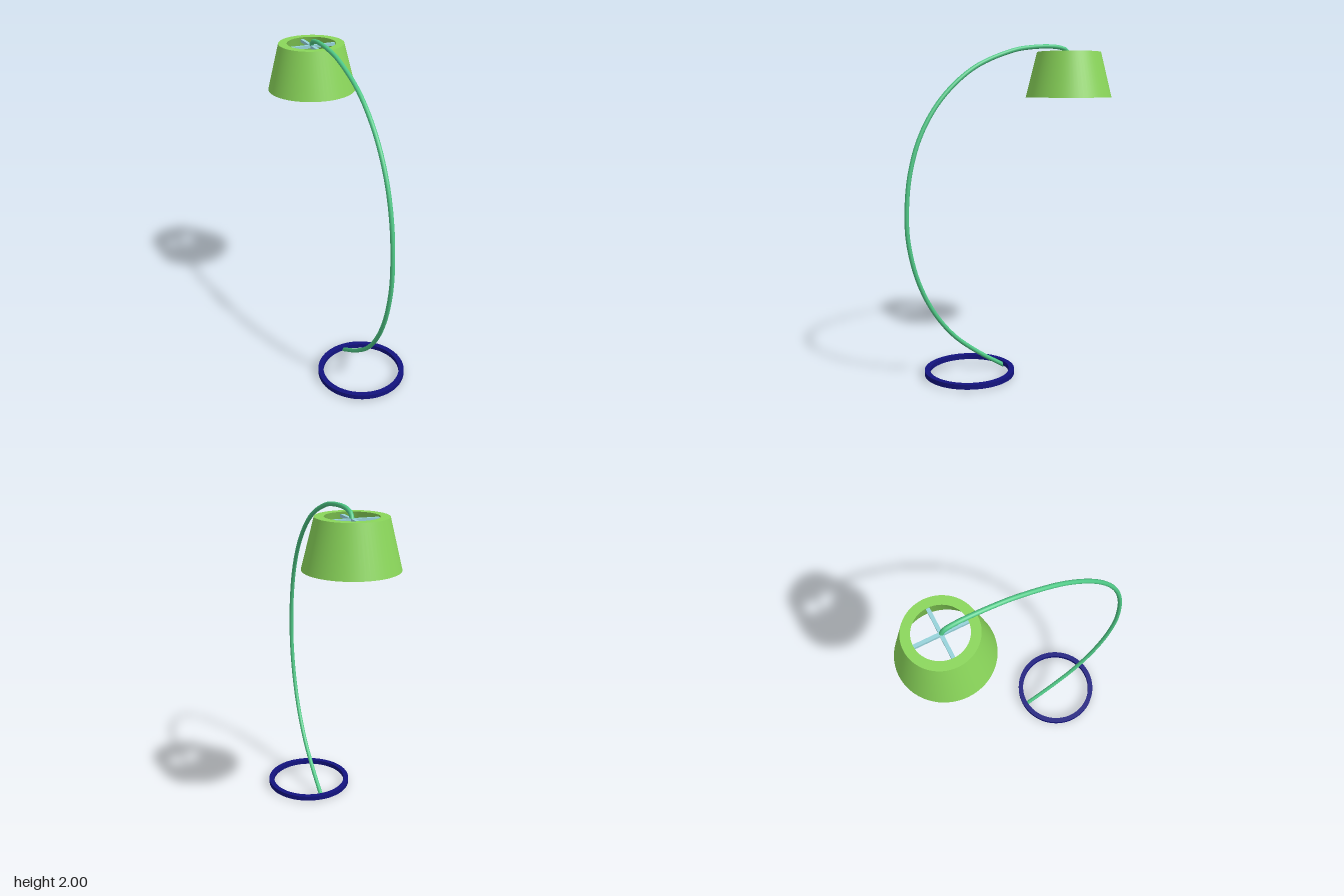
import * as THREE from 'three';

const POLE_X = -0.005;
const SHADE_Z = -0.436;

function material(color, extra = {}) {
  return new THREE.MeshStandardMaterial({ color, ...extra });
}

function addMesh(parent, name, geometry, mat) {
  const mesh = new THREE.Mesh(geometry, mat);
  mesh.name = name;
  parent.add(mesh);
  return mesh;
}

// Revolves a closed [radius, y] outline, doubling corners so edges stay sharp
function revolve(outline, segments) {
  const group = new THREE.Group();
  return { group, faces: outline.map((a, i) => {
    const b = outline[(i + 1) % outline.length];
    return new THREE.LatheGeometry([new THREE.Vector2(...a), new THREE.Vector2(...b)], segments);
  }) };
}

function addRevolved(parent, name, outline, segments, mat) {
  const { group, faces } = revolve(outline, segments);
  group.name = name;
  faces.forEach((geometry, i) => addMesh(group, `${name}Face${i + 1}`, geometry, mat));
  parent.add(group);
  return group;
}

export function createModel() {
  const lamp = new THREE.Group();
  lamp.name = 'arcFloorLamp';

  // Flat ring base
  const base = addRevolved(lamp, 'baseRing',
    [[0.24, 0.013], [0.272, 0.013], [0.272, 0.042], [0.24, 0.042]], 64,
    material(0x13137f, { side: THREE.DoubleSide }));
  base.position.set(0.004, 0, 0.3);

  // Curved pole, given as [z, y] along its centre line
  const path = new THREE.CatmullRomCurve3([
    [0.05, 0.012], [0.24, 0.135], [0.405, 0.27], [0.535, 0.435], [0.63, 0.63],
    [0.683, 0.84], [0.693, 1.0], [0.67, 1.24], [0.597, 1.468], [0.46, 1.675],
    [0.247, 1.85], [-0.02, 1.955], [-0.15, 1.978], [-0.29, 1.987],
    [-0.37, 1.982], [-0.42, 1.966], [SHADE_Z, 1.935],
  ].map(([z, y]) => new THREE.Vector3(POLE_X, y, z)));
  const poleMat = material(0x50c987);
  addMesh(lamp, 'pole', new THREE.TubeGeometry(path, 120, 0.013, 16), poleMat);

  // Flat caps on both pole ends
  for (const [name, t, sign] of [['poleFootCap', 0, -1], ['poleTipCap', 1, 1]]) {
    const cap = addMesh(lamp, name, new THREE.CircleGeometry(0.013, 16), poleMat);
    const p = path.getPoint(t);
    cap.position.copy(p);
    cap.lookAt(p.clone().addScaledVector(path.getTangent(t), sign));
  }

  // Shade with a thick open top rim and a thinner lower edge
  const head = new THREE.Group();
  head.name = 'lampHead';
  head.position.set(POLE_X, 0, SHADE_Z);
  lamp.add(head);
  addRevolved(head, 'shade',
    [[0.246, 1.676], [0.27, 1.676], [0.2, 1.957], [0.148, 1.957]], 64,
    material(0x8ad65a, { side: THREE.DoubleSide }));

  // Crossed bars holding the shade
  const barMat = material(0x96d2da);
  for (const [name, angle] of [['crossBarSide', 0], ['crossBarDepth', Math.PI / 2]]) {
    const bar = addMesh(head, name, new THREE.BoxGeometry(0.304, 0.018, 0.02), barMat);
    bar.position.y = 1.936;
    bar.rotation.y = angle;
  }

  return lamp;
}
